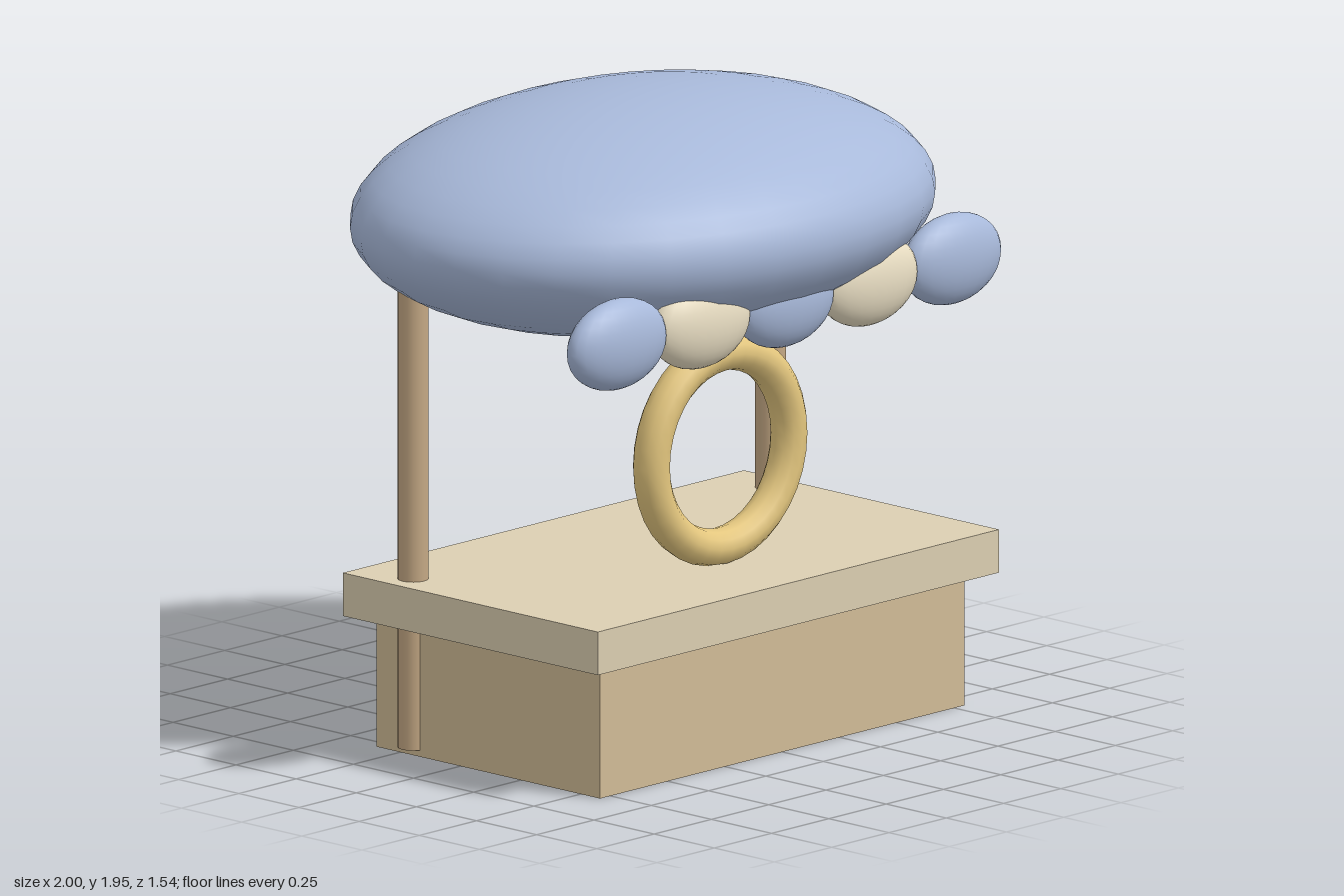
import * as THREE from 'three';

const paint = (color) => new THREE.MeshStandardMaterial({ color });
const BLUE = paint(0xa8b9da), CREAM = paint(0xeadfc4), GOLD = paint(0xe3c67e);
const TOP = paint(0xdccfb2), BASE = paint(0xd2bc97), POST = paint(0xc4a884);

export function createModel() {
  const group = new THREE.Group();

  const add = (name, geometry, material, x, y, z) => {
    const mesh = new THREE.Mesh(geometry, material);
    mesh.name = name;
    mesh.position.set(x, y, z);
    group.add(mesh);
    return mesh;
  };
  const ellipsoid = (name, material, radii, position, w, h) =>
    add(name, new THREE.SphereGeometry(1, w, h), material, ...position).scale.set(...radii);

  // Stall body and overhanging counter
  add('base', new THREE.BoxGeometry(1.59, 0.397, 0.93), BASE, 0, 0.1985, 0.115);
  add('counterTop', new THREE.BoxGeometry(1.75, 0.134, 1.06), TOP, 0, 0.476, 0.117);

  // Rear posts running from near the ground into the canopy
  for (const side of [-1, 1]) {
    add(side > 0 ? 'leftPost' : 'rightPost',
      new THREE.CylinderGeometry(0.047, 0.047, 1.46, 16), POST, side * 0.78, 0.75, -0.212);
  }

  // Puffy canopy
  ellipsoid('canopy', BLUE, [0.998, 0.35, 0.768], [0, 1.602, 0], 32, 24);

  // Row of scallops in alternating colours along the front edge
  for (let i = -2; i <= 2; i++) {
    ellipsoid('scallop', i % 2 ? CREAM : BLUE, [0.203, 0.14, 0.078], [i * 0.365, 1.4, 0.587], 24, 16);
  }

  // Ring standing on the counter
  add('ring', new THREE.TorusGeometry(0.3, 0.057, 12, 36), GOLD, 0, 0.895, 0.322);

  return group;
}
